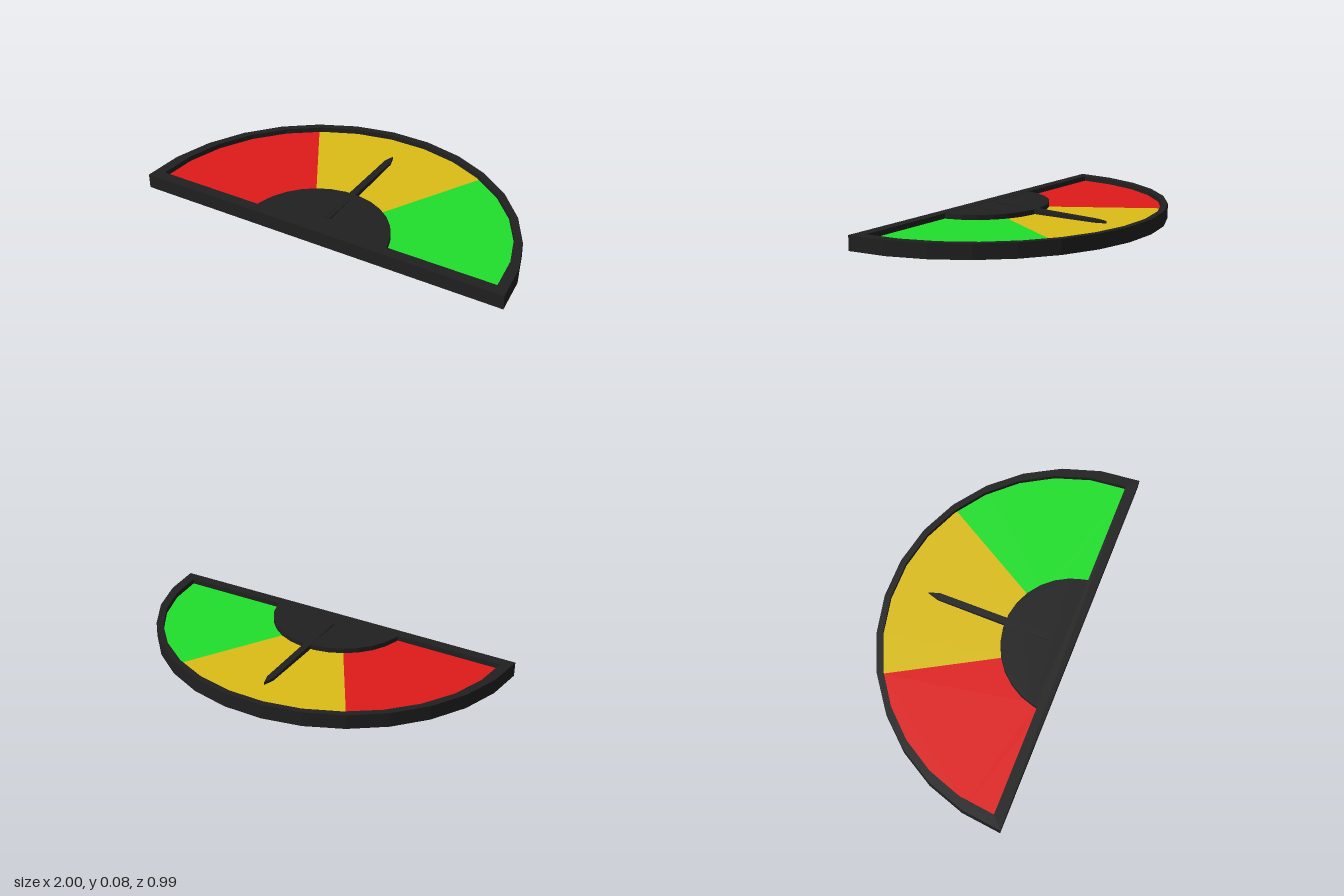
import * as THREE from 'three';

const BASE = -0.497; // shape-plane height of the dial's centre (shape y = -z)
const STEP = Math.PI / 15;

// Points of a faceted arc between two step numbers (12 degrees each)
function arc(rx, ry, cy, from, to) {
  const pts = [];
  for (let i = from; i <= to; i++) {
    pts.push(new THREE.Vector2(rx * Math.cos(i * STEP), cy + ry * Math.sin(i * STEP)));
  }
  return pts;
}

// Upright slab from a plan outline
function slab(shape, bottom, height) {
  const g = new THREE.ExtrudeGeometry(shape, { depth: height, bevelEnabled: false });
  g.rotateX(-Math.PI / 2);
  g.translate(0, bottom, 0);
  return g;
}

export function createModel() {
  const model = new THREE.Group();
  const dark = new THREE.MeshStandardMaterial({ color: 0x202020, flatShading: true });
  const add = (name, geometry, material) => {
    const mesh = new THREE.Mesh(geometry, material);
    mesh.name = name;
    model.add(mesh);
    return mesh;
  };

  // Half-round frame with an open middle
  const frame = new THREE.Shape(arc(1, 1, BASE, 0, 15));
  frame.holes.push(new THREE.Path(arc(0.94, 0.91, -0.44, 0, 15).reverse()));
  add('frame', slab(frame, 0, 0.077), dark);

  // Three coloured sectors of the recessed dial, tucked under the frame
  const sectors = [
    ['greenSector', 0x20e02c, 0, 5],
    ['yellowSector', 0xdbbd17, 5, 10],
    ['redSector', 0xe01b1b, 10, 15],
  ];
  for (const [name, color, from, to] of sectors) {
    const outer = arc(0.973, 0.973, BASE, from, to);
    const inner = arc(0.35, 0.35, BASE, from, to).reverse();
    const outline = [...outer, ...inner];
    for (const p of outline) p.y = Math.max(p.y, -0.47);
    const g = new THREE.ShapeGeometry(new THREE.Shape(outline));
    g.rotateX(-Math.PI / 2);
    g.translate(0, 0.05, 0);
    add(name, g, new THREE.MeshStandardMaterial({ color, side: THREE.DoubleSide }));
  }

  // Raised half-round hub
  const hub = arc(0.37, 0.37, BASE, 0, 15);
  for (const p of hub) p.y = Math.max(p.y, -0.47);
  add('hub', slab(new THREE.Shape(hub), 0.049, 0.027), dark);

  // Pointer, tilted down towards its tip
  const w = 0.018;
  const pointer = new THREE.Shape([
    [-w, 0], [w, 0], [w, 0.61], [0, 0.67], [-w, 0.61],
  ].map(([x, y]) => new THREE.Vector2(x, y)));
  const needle = add('needle', slab(pointer, -0.025, 0.025), dark);
  needle.position.set(0, 0.083, 0.37);
  needle.rotation.x = -0.03;

  return model;
}
